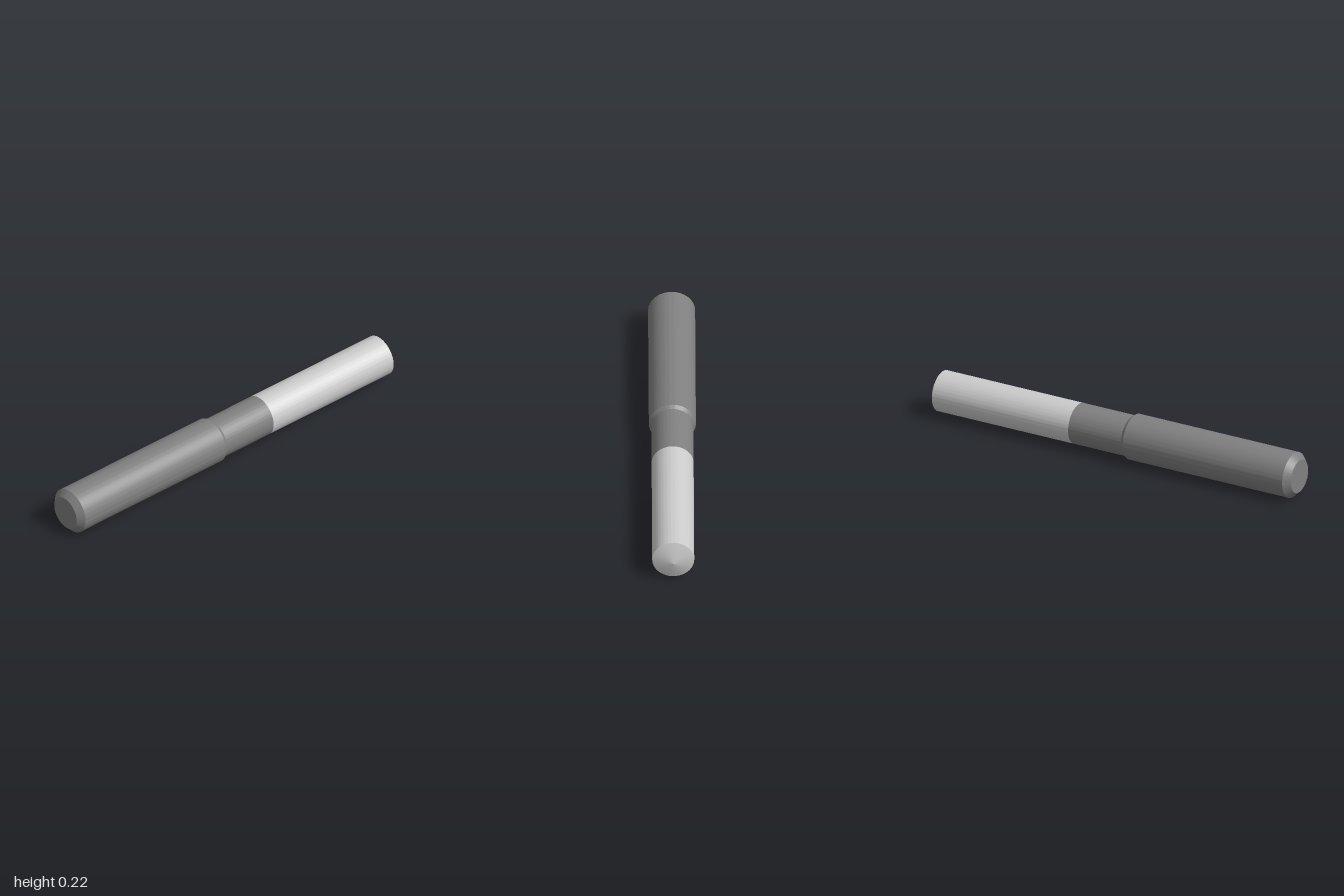
import * as THREE from 'three';
import { toCreasedNormals } from 'three/addons/utils/BufferGeometryUtils.js';

const AXIS_HEIGHT = 0.112;
const SHANK_RADIUS = 0.112;
const CUT_RADIUS = 0.1;

// Turns a [radius, z] profile, listed from back to front, around the z axis.
function turned(name, profile, color) {
  const points = profile.map(([r, z]) => new THREE.Vector2(r, z));
  const lathe = new THREE.LatheGeometry(points, 96).rotateX(Math.PI / 2);
  const mesh = new THREE.Mesh(
    toCreasedNormals(lathe, 0.5),
    new THREE.MeshStandardMaterial({ color })
  );
  mesh.name = name;
  mesh.position.y = AXIS_HEIGHT;
  return mesh;
}

export function createModel() {
  const group = new THREE.Group();
  group.name = 'drill';

  // Bright cutting section with a shallow conical point
  group.add(turned('cuttingSection', [
    [0, -1], [CUT_RADIUS, -0.965], [CUT_RADIUS, -0.215],
  ], 0xcccccc));

  // Dark neck, conical shoulder, shank and chamfered end
  group.add(turned('shank', [
    [CUT_RADIUS, -0.215], [CUT_RADIUS, 0.075],
    [SHANK_RADIUS, 0.092], [SHANK_RADIUS, 0.97],
    [0.082, 1], [0, 1],
  ], 0x808080));

  return group;
}
